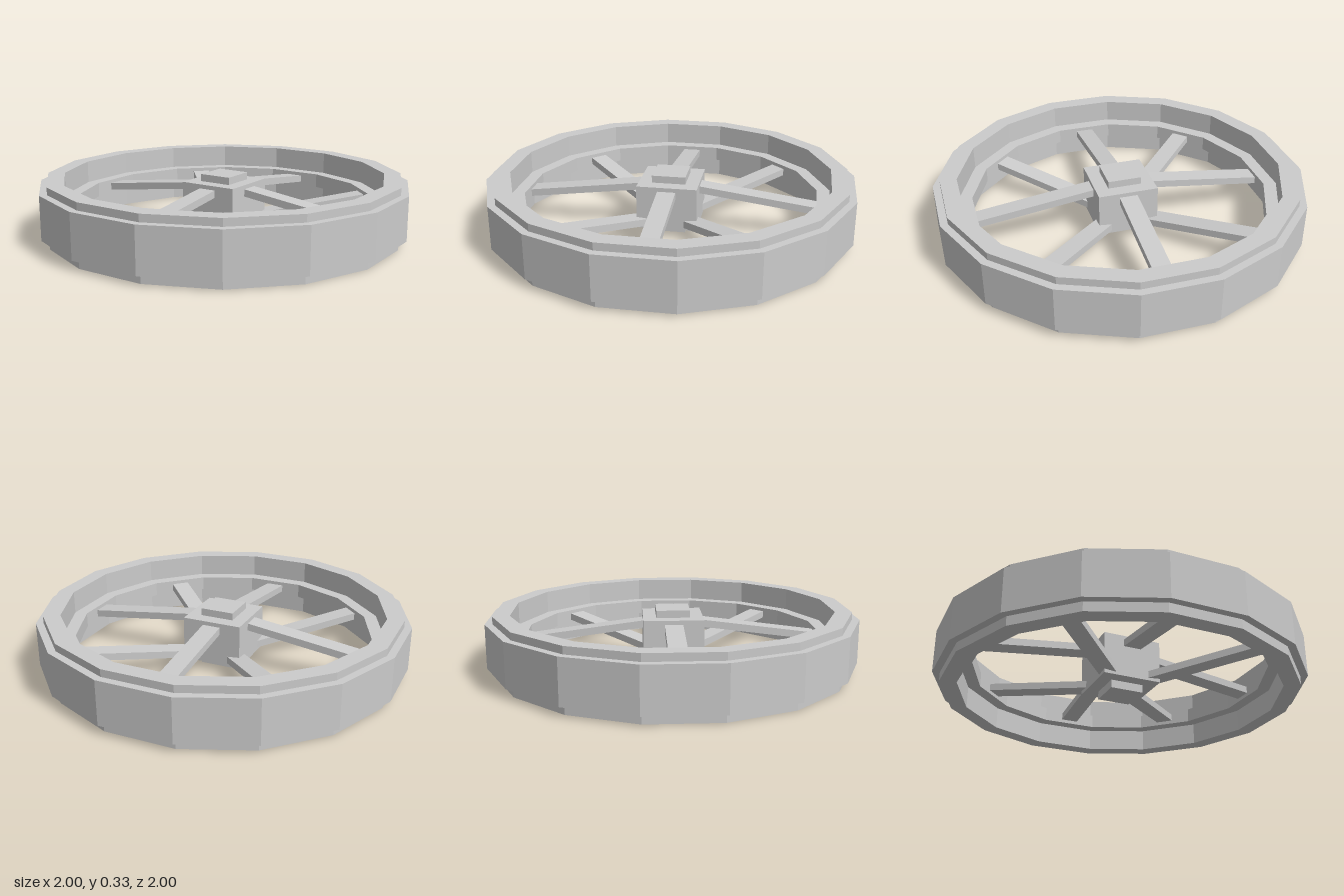
import * as THREE from 'three';

const SIDES = 16;
const MID = 0.165; // half the wheel's height

export function createModel() {
  const wheel = new THREE.Group();
  wheel.name = 'spokedWheel';
  const material = new THREE.MeshStandardMaterial({ color: 0xcccccc, flatShading: true });

  const add = (name, geometry, parent = wheel) => {
    const mesh = new THREE.Mesh(geometry, material);
    mesh.name = name;
    parent.add(mesh);
    return mesh;
  };

  // Rim: stepped section [distance to flat, y], turned with flats on the axes
  const section = [
    [0.96, 0], [0.96, 0.05], [1, 0.05], [1, 0.29], [0.96, 0.29], [0.96, 0.33],
    [0.87, 0.33], [0.87, 0.205], [0.8, 0.205], [0.8, 0.125], [0.87, 0.125], [0.87, 0], [0.96, 0],
  ];
  const toCorner = 1 / Math.cos(Math.PI / SIDES);
  const points = section.map(([r, y]) => new THREE.Vector2(r * toCorner, y));
  add('rim', new THREE.LatheGeometry(points, SIDES, Math.PI / SIDES));

  // Hub block with a smaller square cap above and below
  add('hub', new THREE.BoxGeometry(0.33, 0.24, 0.33)).position.y = MID + 0.005;
  for (const [name, y] of [['upperHubCap', 0.305], ['lowerHubCap', 0.03]]) {
    add(name, new THREE.BoxGeometry(0.185, 0.05, 0.185)).position.y = y;
  }

  // Spokes: straight ones rise towards the hub, diagonal ones drop towards it
  const inner = 0.12, outer = 0.81, slope = 0.13;
  for (let i = 0; i < 8; i++) {
    const rise = i % 2 === 0 ? slope : -slope;
    const geometry = new THREE.BoxGeometry(outer - inner, 0.04, 0.1);
    geometry.translate((outer + inner) / 2, 0, 0);
    const p = geometry.attributes.position;
    for (let v = 0; v < p.count; v++) {
      p.setY(v, p.getY(v) + MID + rise * (0.8 - p.getX(v)));
    }
    geometry.computeVertexNormals();
    add('spoke' + (i + 1), geometry).rotation.y = (i * Math.PI) / 4;
  }

  return wheel;
}
